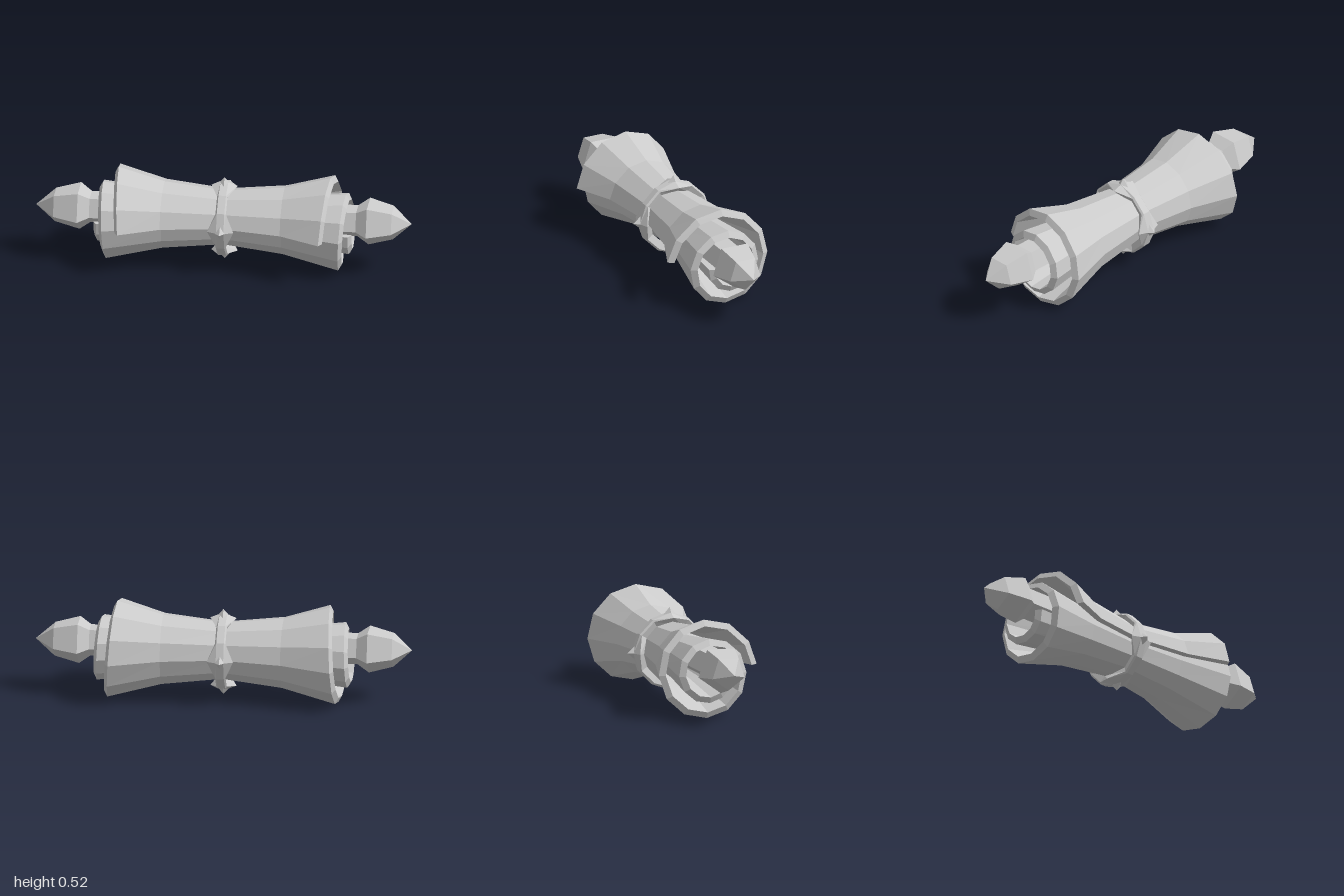
import * as THREE from 'three';

const material = new THREE.MeshStandardMaterial({ color: 0xcccccc, flatShading: true });
const lerp = THREE.MathUtils.lerp;

function addMesh(parent, name, geometry) {
  const mesh = new THREE.Mesh(geometry, material);
  mesh.name = name;
  parent.add(mesh);
  return mesh;
}

// Skins closed cross-sections (arrays of Vector3); either joins the last to the first or caps both ends.
function loft(sections, closed) {
  const n = sections[0].length, count = sections.length;
  const positions = [];
  const quad = (a, b, c, d) => {
    for (const p of [a, b, c, a, c, d]) positions.push(p.x, p.y, p.z);
  };
  for (let i = 0; i < (closed ? count : count - 1); i++) {
    const s = sections[i], t = sections[(i + 1) % count];
    for (let j = 0; j < n; j++) {
      const k = (j + 1) % n;
      quad(s[j], s[k], t[k], t[j]);
    }
  }
  if (!closed) {
    const s = sections[0], e = sections[count - 1];
    for (let j = 0; j < n / 2 - 1; j++) {
      quad(s[j], s[n - 1 - j], s[n - 2 - j], s[j + 1]);
      quad(e[j], e[j + 1], e[n - 2 - j], e[n - 1 - j]);
    }
  }
  const geometry = new THREE.BufferGeometry();
  geometry.setAttribute('position', new THREE.Float32BufferAttribute(positions, 3));
  geometry.computeVertexNormals();
  return geometry;
}

const AXIS_Z = -0.025;
const polar = (x, r, angle, cy) =>
  new THREE.Vector3(x, cy + r * Math.sin(angle), AXIS_Z + r * Math.cos(angle));

// Rolled sheet: two turns of a spiral, flared at both ends and pinched at the waist
function sheetGeometry() {
  const steps = 24, sections = [];
  for (let i = 0; i <= steps; i++) {
    const angle = (i / 12) * Math.PI * 2 + (i === 0 ? 0.08 : 0);
    const endX = 0.535 + 0.135 * (1 - Math.pow(1 - i / steps, 1.8));
    const endR = 0.305 - 0.0075 * i;
    const waistR = 0.172 - 0.0033 * i;
    // rows: position along x and amount of flare
    const rows = [[-endX, 1], [-0.32, 0.33], [0, 0], [0.32, 0.33], [endX, 1]];
    const at = ([x, f], inset, bevel) => polar(
      x + Math.sign(x) * bevel * (f === 1 ? 1 : 0),
      lerp(waistR, endR, f) - inset, angle, lerp(0.252, 0.235, f));
    sections.push([
      ...rows.map(row => at(row, 0, 0)),
      ...rows.slice().reverse().map(row => at(row, 0.033, 0.018)),
    ]);
  }
  return loft(sections, false);
}

// Waist band: narrow ring that widens into a diamond at each quarter
function bandGeometry() {
  const sections = [];
  for (let i = 0; i < 12; i++) {
    const angle = (i / 12) * Math.PI * 2;
    const stud = i % 3 === 0;
    const w = stud ? 0.07 : 0.028;
    const edge = stud ? 0.188 : 0.19;
    const top = stud ? 0.208 : 0.2;
    sections.push([
      [-w, edge], [-0.02, top], [0.02, top], [w, edge], [w * 0.5, 0.15], [-w * 0.5, 0.15],
    ].map(([x, r]) => polar(x, r, angle, 0.255)));
  }
  return loft(sections, true);
}

// Five-sided turned part along x with a flat side on top
function turned(profile) {
  const points = profile.map(([x, r]) => new THREE.Vector2(r, x));
  return new THREE.LatheGeometry(points, 5, Math.PI / 2).rotateZ(-Math.PI / 2);
}

export function createModel() {
  const model = new THREE.Group();
  model.name = 'scroll';

  addMesh(model, 'rolledSheet', sheetGeometry());

  // Band with four pointed studs
  const band = new THREE.Group();
  band.name = 'band';
  model.add(band);
  addMesh(band, 'bandRing', bandGeometry());
  for (let i = 0; i < 4; i++) {
    const angle = (i * Math.PI) / 2;
    const spike = addMesh(band, 'bandSpike', new THREE.ConeGeometry(0.035, 0.04, 4));
    spike.position.copy(polar(0, 0.216, angle, 0.255));
    spike.rotation.x = Math.PI / 2 - angle;
  }

  // Rod through the roll with a pointed finial at each end
  const rod = new THREE.Group();
  rod.name = 'rod';
  rod.position.y = 0.287;
  model.add(rod);
  addMesh(rod, 'shaft', turned([[-0.71, 0.087], [0.71, 0.087]]));
  const finial = turned([[0.71, 0.087], [0.77, 0.131], [0.9, 0.094], [1, 0]]);
  addMesh(rod, 'leftFinial', finial);
  addMesh(rod, 'rightFinial', finial).rotation.y = Math.PI;

  return model;
}
